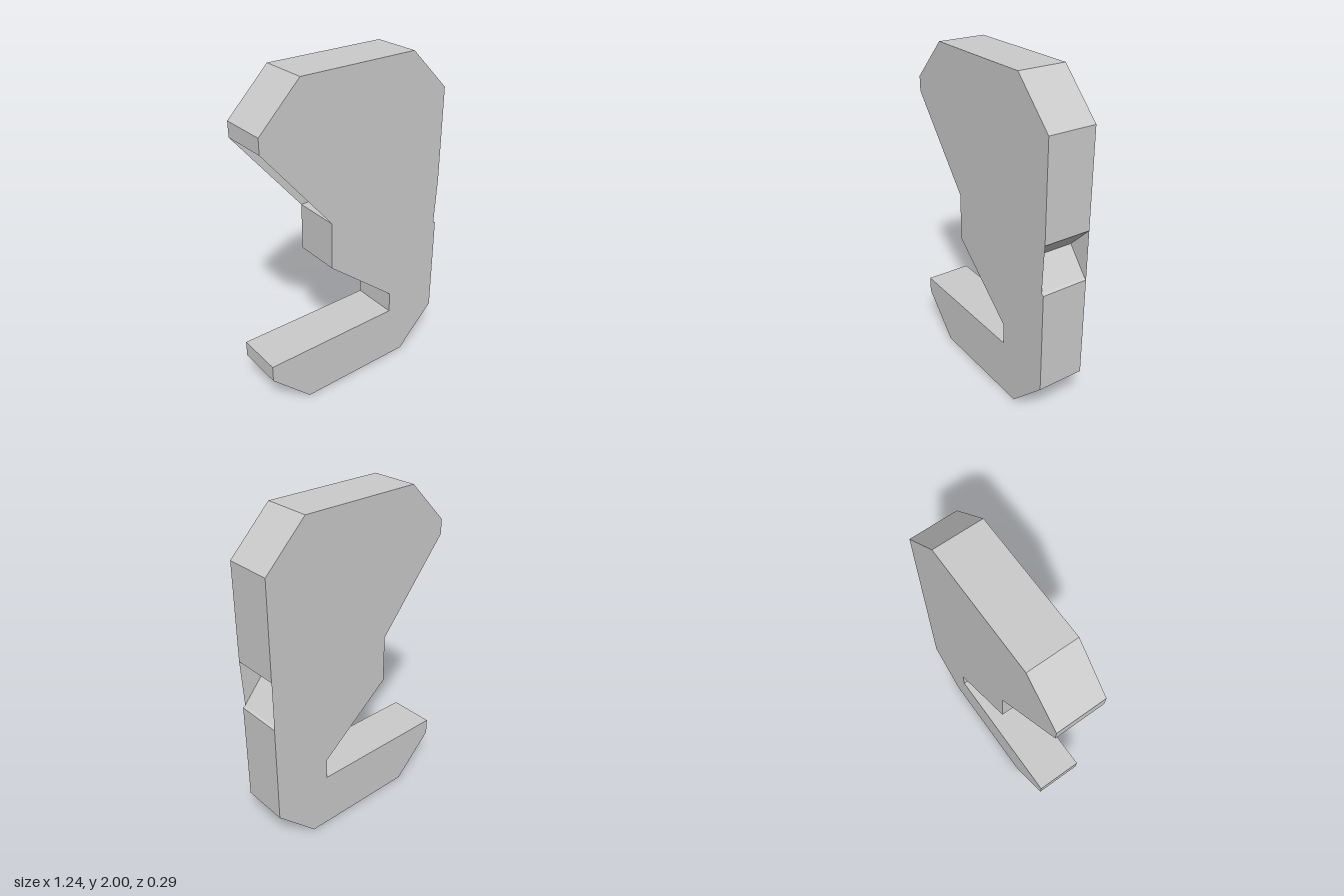
import * as THREE from 'three';

const HALF = 0.145; // half the thickness

// Outer contour shared by plates and rim: lower hook, round to the right edge
const lower = [[-0.62, 0.35], [-0.62, 0.25], [-0.37, 0], [0.37, 0], [0.62, 0.25]];
const upper = [[0.62, 1.75], [0.37, 2], [-0.37, 2], [-0.62, 1.75], [-0.62, 1.66]];
const middle = [[-0.19, 1.14], [-0.19, 0.85]];

// Face plates bridge the recesses with straight edges
const plate = (rightEdge) => [...lower, ...rightEdge, ...upper, ...middle, [0.26, 0.48], [0.26, 0.35]];
const frontOutline = plate([[0.62, 0.87], [0.605, 0.88], [0.62, 1.17]]);
const backOutline = plate([]);

// The rim follows the recesses inward
const rimOutline = [
  ...lower,
  [0.62, 0.87], [0.605, 0.88], [0.48, 1.03], [0.62, 1.17],
  ...upper,
  [0.26, 1.66], [0.26, 1.24], [0.16, 1.14],
  ...middle,
  [0.16, 0.85], [0.26, 0.75], [0.26, 0.35],
];

function plateGeometry(points) {
  return new THREE.ShapeGeometry(new THREE.Shape(points.map(([x, y]) => new THREE.Vector2(x, y))));
}

// One flat quad through the thickness for every side of the contour
function rimGeometry(points) {
  const pos = [];
  points.forEach(([ax, ay], i) => {
    const [bx, by] = points[(i + 1) % points.length];
    pos.push(ax, ay, HALF, ax, ay, -HALF, bx, by, -HALF);
    pos.push(ax, ay, HALF, bx, by, -HALF, bx, by, HALF);
  });
  const geometry = new THREE.BufferGeometry();
  geometry.setAttribute('position', new THREE.Float32BufferAttribute(pos, 3));
  geometry.computeVertexNormals();
  return geometry;
}

export function createModel() {
  const group = new THREE.Group();
  group.name = 'hookedBlock';
  const material = new THREE.MeshStandardMaterial({ color: 0xcccccc, side: THREE.DoubleSide });
  const add = (name, geometry) => {
    const mesh = new THREE.Mesh(geometry, material);
    mesh.name = name;
    group.add(mesh);
  };

  add('frontPlate', plateGeometry(frontOutline).translate(0, 0, HALF));

  // Mirror in x, then turn about y, so the back plate faces -z
  const mirrored = backOutline.map(([x, y]) => [-x, y]).reverse();
  add('backPlate', plateGeometry(mirrored).rotateY(Math.PI).translate(0, 0, -HALF));

  add('rim', rimGeometry(rimOutline));
  return group;
}
